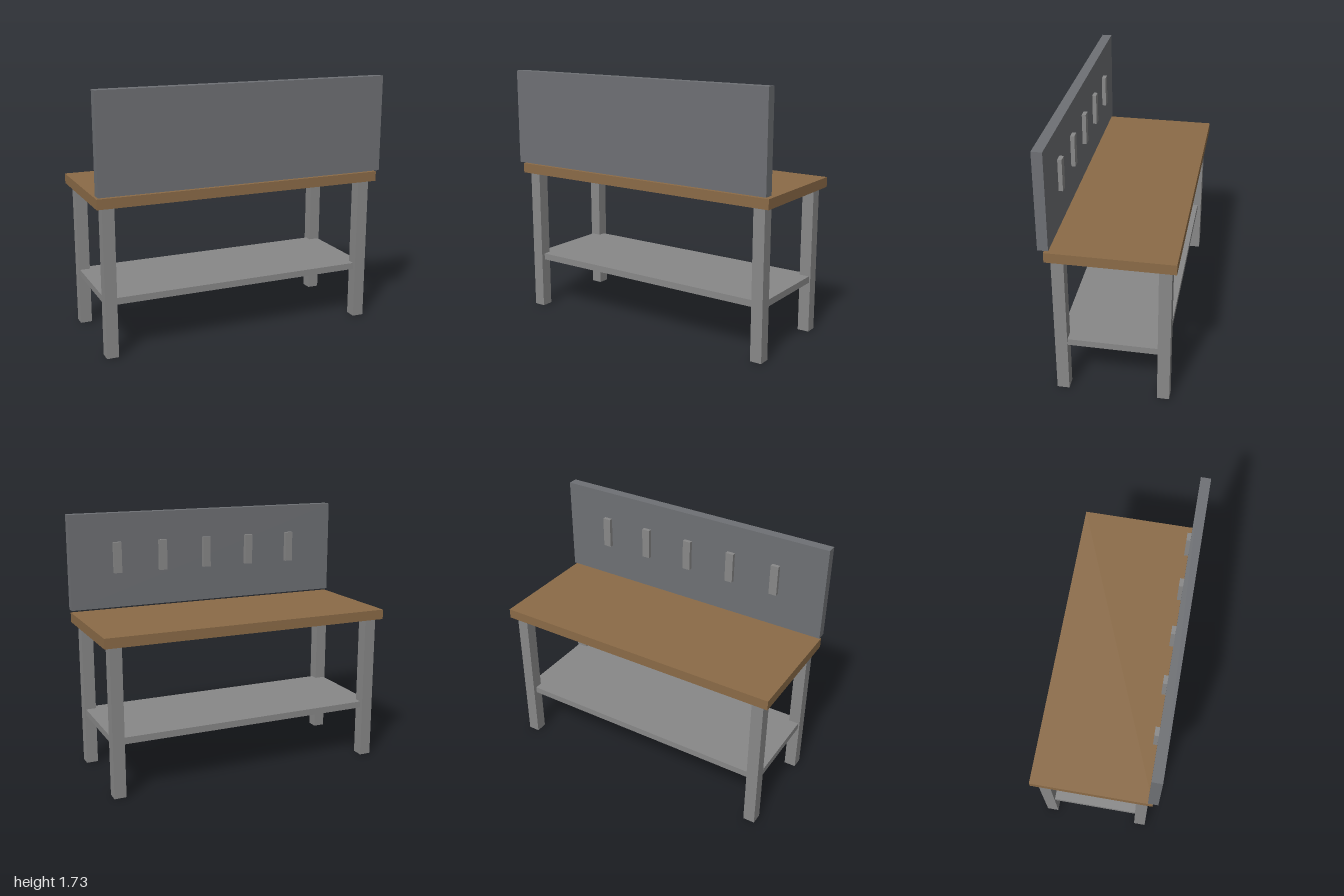
import * as THREE from 'three';

const wood = new THREE.MeshStandardMaterial({ color: 0x8b6b47 });
const boardGrey = new THREE.MeshStandardMaterial({ color: 0x6e7074 });
const steel = new THREE.MeshStandardMaterial({ color: 0x888888 });

// Box given by its min and max on each axis
function box(name, [x0, x1], [y0, y1], [z0, z1], material) {
  const mesh = new THREE.Mesh(new THREE.BoxGeometry(x1 - x0, y1 - y0, z1 - z0), material);
  mesh.position.set((x0 + x1) / 2, (y0 + y1) / 2, (z0 + z1) / 2);
  mesh.name = name;
  return mesh;
}

export function createModel() {
  const bench = new THREE.Group();
  bench.name = 'workbench';

  // Worktop and lower shelf
  bench.add(box('worktop', [-1, 1], [1, 1.067], [-0.418, 0.384], wood));
  bench.add(box('lowerShelf', [-0.95, 0.95], [0.35, 0.395], [-0.36, 0.327], steel));

  // Four square legs
  for (const x of [-0.92, 0.92]) {
    for (const z of [-0.346, 0.313]) {
      const name = (z > 0 ? 'front' : 'back') + (x > 0 ? 'Left' : 'Right') + 'Leg';
      bench.add(box(name, [x - 0.04, x + 0.04], [0, 1], [z - 0.04, z + 0.04], steel));
    }
  }

  // Upright tool board, floating just above the worktop
  bench.add(box('toolBoard', [-1, 1], [1.083, 1.733], [0.351, 0.418], boardGrey));

  // Row of tool holders on the inner face of the board
  for (let i = 0; i < 5; i++) {
    const x = -0.65 + i * 0.33;
    bench.add(box('toolHolder' + (i + 1), [x - 0.028, x + 0.028], [1.325, 1.537], [0.324, 0.352], steel));
  }

  return bench;
}
